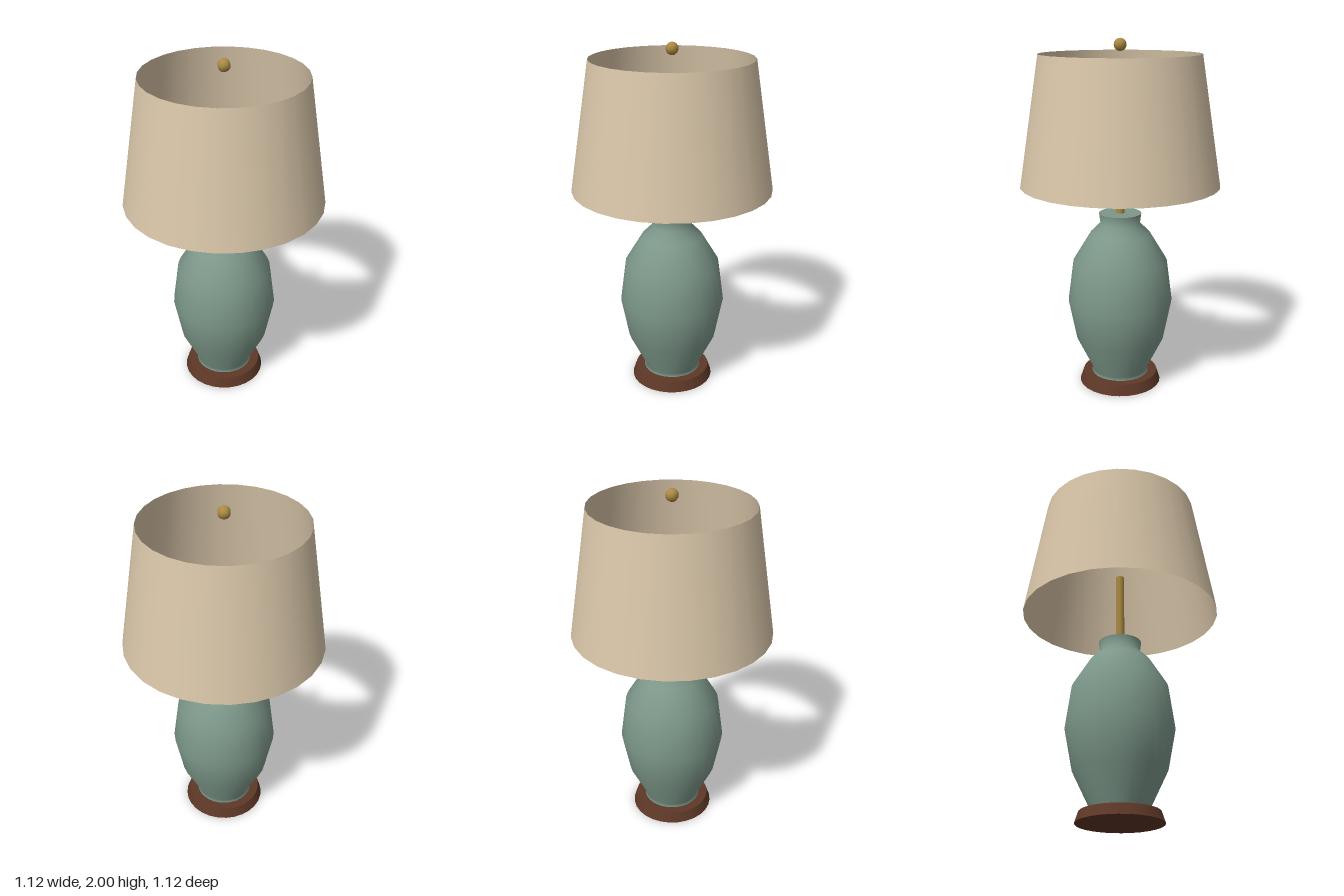
import * as THREE from 'three';

const SEGMENTS = 28;

function material(name, color, options = {}) {
  const m = new THREE.MeshStandardMaterial({ color, ...options });
  m.name = name;
  return m;
}

export function createModel() {
  const lamp = new THREE.Group();
  lamp.name = 'tableLamp';

  const wood = material('dark wood', 0x5e3827);
  const ceramic = material('green ceramic', 0x7d988a);
  const brass = material('brass', 0xac8a42);
  const linen = material('linen', 0xd9c6a9, { side: THREE.DoubleSide });

  const add = (name, geometry, mat, y = 0) => {
    const mesh = new THREE.Mesh(geometry, mat);
    mesh.name = name;
    mesh.position.y = y;
    lamp.add(mesh);
    return mesh;
  };

  // Tapered wooden foot
  add('base', new THREE.CylinderGeometry(0.218, 0.238, 0.06, SEGMENTS), wood, 0.03);

  // Ceramic body: small foot flare, wide belly, pinched neck and lip
  const profile = [
    [0.17, 0.055], [0.157, 0.075], [0.257, 0.28], [0.302, 0.51],
    [0.27, 0.75], [0.173, 0.91], [0.113, 0.97], [0.121, 1.03],
  ].map(([r, y]) => new THREE.Vector2(r, y));
  add('body', new THREE.LatheGeometry(profile, SEGMENTS), ceramic);

  // Flat lid closing the neck
  const lid = new THREE.CircleGeometry(0.121, SEGMENTS).rotateX(-Math.PI / 2);
  add('neckLid', lid, ceramic, 1.03);

  // Brass stem and finial
  add('stem', new THREE.CylinderGeometry(0.025, 0.025, 0.44, 12), brass, 1.24);
  add('finial', new THREE.SphereGeometry(0.035, 8, 8), brass, 1.965);

  // Open tapered shade
  add('shade', new THREE.CylinderGeometry(0.447, 0.562, 0.72, SEGMENTS, 1, true), linen, 1.557);

  return lamp;
}
